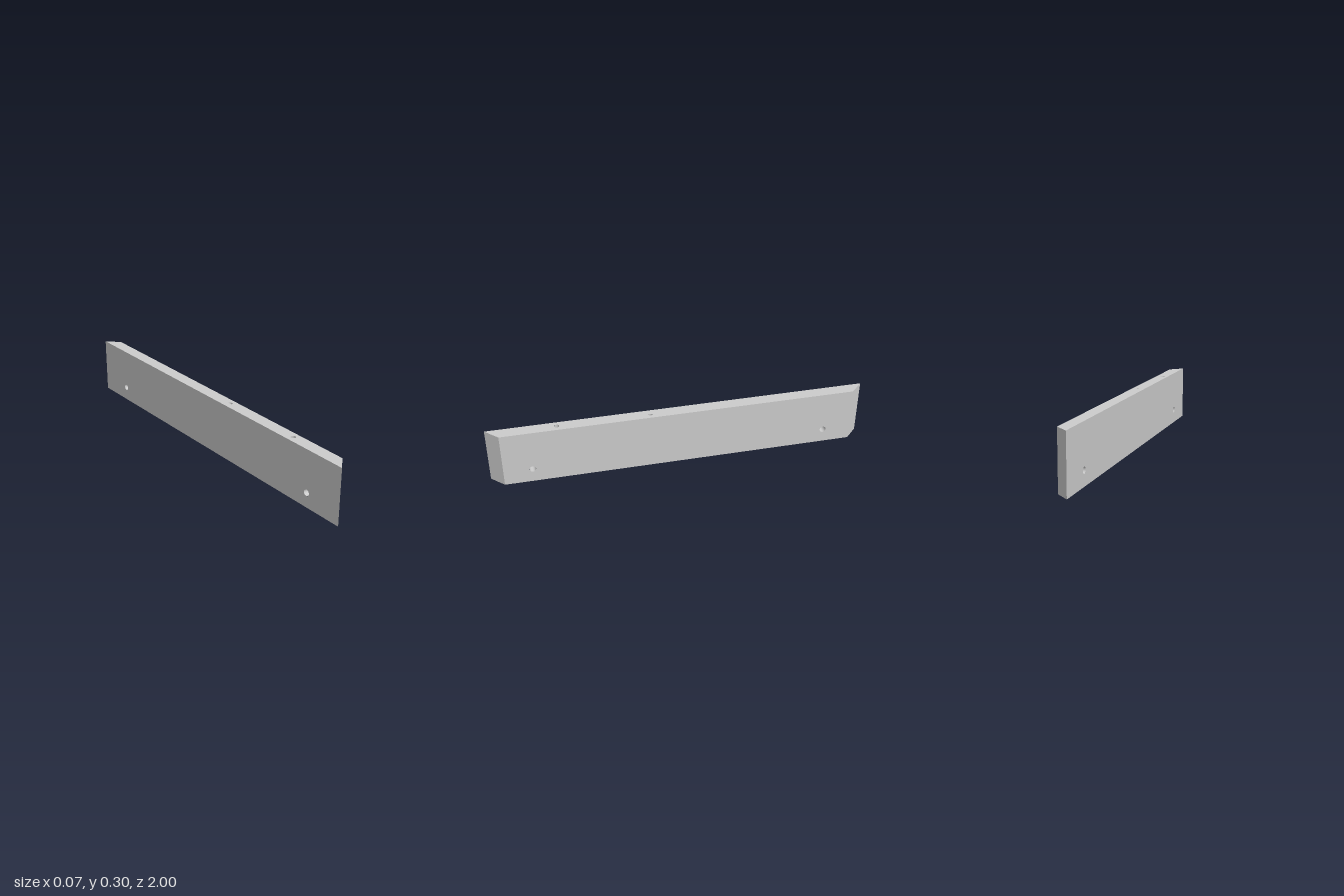
import * as THREE from 'three';

const H = 0.3, X = 0.0335, LONG = 1, SHORT = LONG - 2 * X; // mitred 45 degrees at both ends
const SIDE_R = 0.017, SIDE_Z = 0.783, SIDE_Y = 0.077;
const TOP_R = 0.013, TOP_DEPTH = 0.1, TOP_Z = [-0.64, -0.16, 0.16, 0.64];
const SEG = 24;

export function createModel() {
  const group = new THREE.Group();
  const mat = new THREE.MeshStandardMaterial({ color: 0xcccccc });
  const inner = new THREE.MeshStandardMaterial({ color: 0xcccccc, side: THREE.BackSide });

  const add = (name, geometry, material = mat) => {
    const mesh = new THREE.Mesh(geometry, material);
    mesh.name = name;
    group.add(mesh);
    return mesh;
  };

  // flat outline with round holes [x, y, radius]
  const panel = (points, holes = []) => {
    const shape = new THREE.Shape(points.map(([x, y]) => new THREE.Vector2(x, y)));
    for (const [x, y, r] of holes) {
      shape.holes.push(new THREE.Path().absarc(x, y, r, 0, Math.PI * 2, true));
    }
    return new THREE.ShapeGeometry(shape, SEG);
  };

  // broad faces, pierced by the two screw holes
  const sideHoles = [-SIDE_Z, SIDE_Z].map((z) => [z, SIDE_Y, SIDE_R]);
  for (const [name, s, half] of [['innerFace', 1, SHORT], ['outerFace', -1, LONG]]) {
    const outline = [[-half, 0], [half, 0], [half, H], [-half, H]];
    add(name, panel(outline, sideHoles).rotateY(s * Math.PI / 2).translate(s * X, 0, 0));
  }

  // top edge with dowel holes, plain bottom edge
  const plan = [[-X, -LONG], [X, -SHORT], [X, SHORT], [-X, LONG]];
  const topHoles = TOP_Z.map((z) => [0, z, TOP_R]);
  add('topEdge', panel(plan, topHoles).rotateX(-Math.PI / 2).translate(0, H, 0));
  add('bottomEdge', panel(plan).rotateX(Math.PI / 2));

  // mitred ends
  for (const [name, s, angle] of [['frontMitre', 1, Math.PI / 4], ['backMitre', -1, 3 * Math.PI / 4]]) {
    add(name, new THREE.PlaneGeometry(2 * X * Math.SQRT2, H)
      .rotateY(angle).translate(0, H / 2, s * (LONG - X)));
  }

  // walls of the through holes
  for (const [z, y, r] of sideHoles) {
    add('screwHole', new THREE.CylinderGeometry(r, r, 2 * X, SEG, 1, true)
      .rotateZ(Math.PI / 2).translate(0, y, z), inner);
  }

  // walls and floors of the blind dowel holes
  for (const z of TOP_Z) {
    add('dowelHole', new THREE.CylinderGeometry(TOP_R, TOP_R, TOP_DEPTH, SEG, 1, true)
      .translate(0, H - TOP_DEPTH / 2, z), inner);
    add('dowelHoleFloor', new THREE.CircleGeometry(TOP_R, SEG)
      .rotateX(-Math.PI / 2).translate(0, H - TOP_DEPTH, z));
  }
  return group;
}
